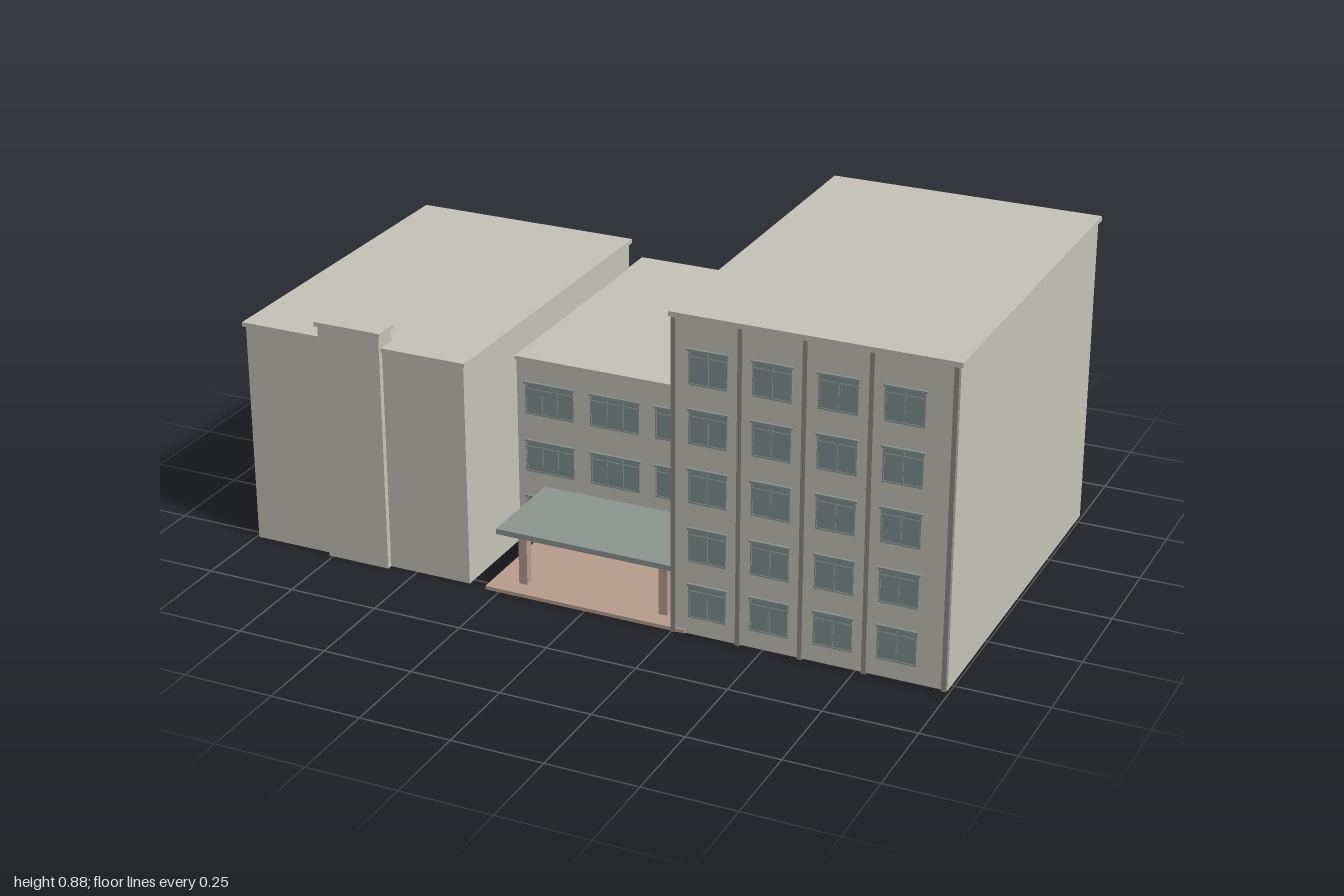
import * as THREE from 'three';

const mat = (color) => new THREE.MeshStandardMaterial({ color });
const WALL = mat(0xc6c5ba), ROOF = mat(0xc6c2ba), TRIM = mat(0x8f8c85);
const GLASS = mat(0x7d9291), FRAME = mat(0x8a9693), CANOPY = mat(0x8e9692), PINK = mat(0xb89d8f);

// Box given by its extents on each axis
function box(parent, name, [x0, x1], [y0, y1], [z0, z1], material) {
  const mesh = new THREE.Mesh(new THREE.BoxGeometry(x1 - x0, y1 - y0, z1 - z0), material);
  mesh.position.set((x0 + x1) / 2, (y0 + y1) / 2, (z0 + z1) / 2);
  mesh.name = name;
  parent.add(mesh);
  return mesh;
}

// Wall block with a slightly overhanging roof slab
function block(parent, name, x, h, z, top, lip = 0.007) {
  const g = new THREE.Group();
  g.name = name;
  box(g, 'walls', x, [0, h], z, WALL);
  box(g, 'roofSlab', [x[0] - lip, x[1] + lip], [h, top], [z[0] - lip, z[1] + lip], ROOF);
  parent.add(g);
  return g;
}

// Glass pane with border, mullions, transom and a projecting head
function glazing(parent, name, [x0, x1], [y0, y1], z, panes, transom = true) {
  const g = new THREE.Group();
  g.name = name;
  const t = 0.004, front = [z, z + 0.004];
  box(g, 'glass', [x0, x1], [y0, y1], [z - 0.004, z + 0.002], GLASS);
  box(g, 'sill', [x0, x1], [y0, y0 + t], front, FRAME);
  box(g, 'head', [x0 - 0.004, x1 + 0.004], [y1 - 0.006, y1], [z, z + 0.006], FRAME);
  for (let i = 0; i <= panes; i++) {
    const x = x0 + t / 2 + ((x1 - x0 - t) * i) / panes;
    box(g, 'mullion', [x - t / 2, x + t / 2], [y0, y1], front, FRAME);
  }
  if (transom) {
    const y = y1 - (y1 - y0) * 0.22;
    box(g, 'transom', [x0, x1], [y - t / 2, y + t / 2], front, FRAME);
  }
  parent.add(g);
}

export function createModel() {
  const model = new THREE.Group();
  model.name = 'building';

  // Three main wings
  const tall = block(model, 'tallWing', [0.247, 0.993], 0.867, [-0.54, 0.53], 0.88);
  const middle = block(model, 'middleWing', [-0.34, 0.25], 0.535, [-0.54, 0.24], 0.545, 0.006);
  const low = block(model, 'leftWing', [-0.993, -0.342], 0.621, [-0.45, 0.524], 0.633);

  // Projecting shaft on the left wing
  block(low, 'shaft', [-0.762, -0.58], 0.668, [0.475, 0.54], 0.68, 0.007);

  // Tall wing: pilasters and window grid
  for (const x of [0.254, 0.432, 0.602, 0.774, 0.985])
    box(tall, 'pilaster', [x - 0.006, x + 0.006], [0, 0.867], [0.52, 0.539], TRIM);
  for (const x of [0.294, 0.464, 0.636, 0.806])
    for (const y of [0.05, 0.208, 0.372, 0.534, 0.694])
      glazing(tall, 'window', [x, x + 0.104], [y, y + 0.096], 0.531, 2);

  // Middle wing: wide windows and entrance doors
  for (const x of [-0.314, -0.122, 0.067])
    for (const y of [0.05, 0.215, 0.383])
      if (y > 0.1 || x !== -0.122)
        glazing(middle, 'wideWindow', [x, x + 0.143], [y, y + 0.093], 0.241, 3);
  glazing(middle, 'entranceDoors', [-0.1, 0.093], [0.01, 0.145], 0.241, 4, false);

  // Entrance porch
  const porch = new THREE.Group();
  porch.name = 'porch';
  box(porch, 'porchFloor', [-0.29, 0.285], [0, 0.01], [0.235, 0.535], PINK);
  box(porch, 'canopy', [-0.262, 0.247], [0.161, 0.176], [0.235, 0.52], CANOPY);
  for (const x of [-0.204, 0.2])
    box(porch, 'porchColumn', [x - 0.012, x + 0.012], [0.01, 0.161], [0.46, 0.484], PINK);
  model.add(porch);

  return model;
}
